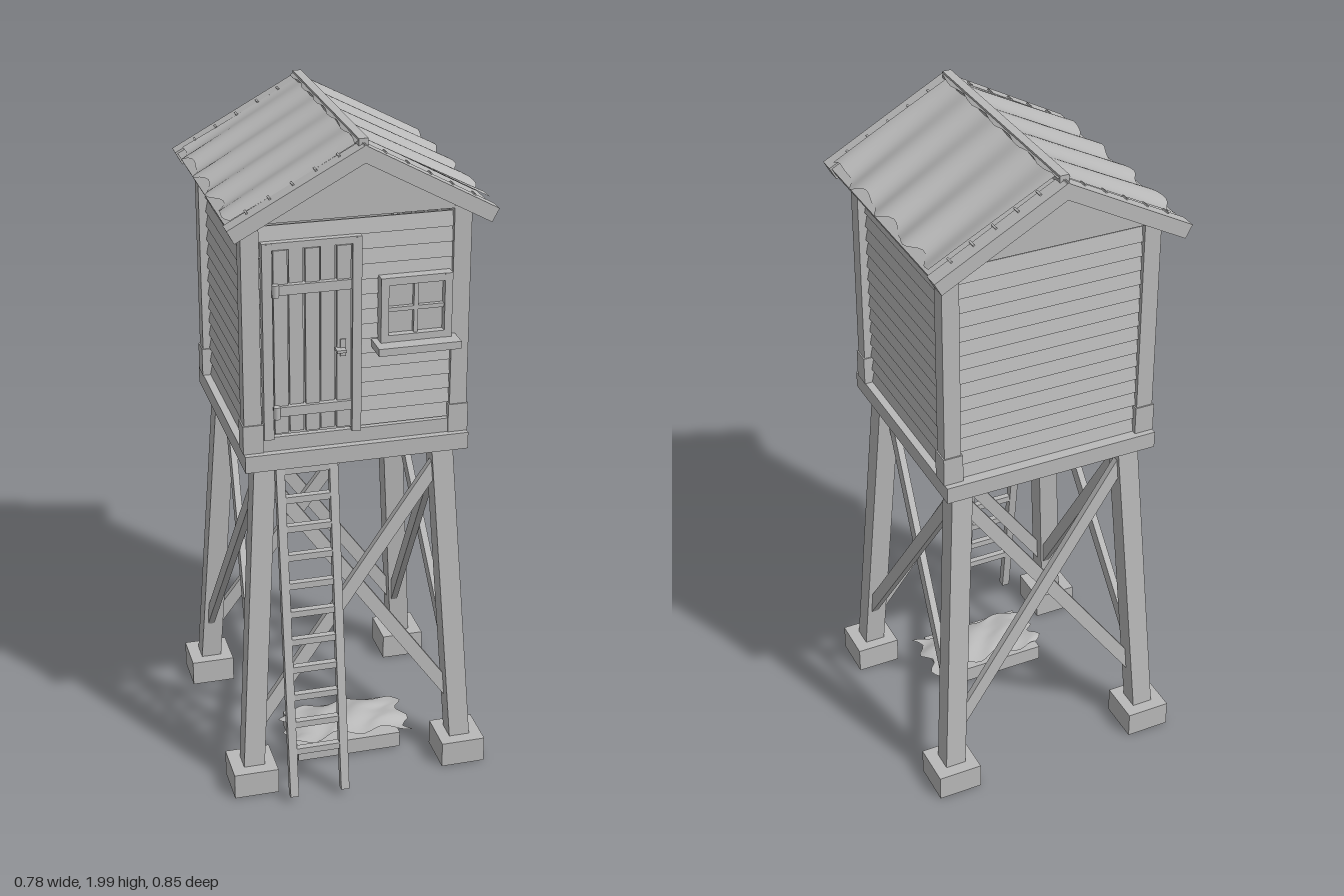
import * as THREE from 'three';

const wood = new THREE.MeshStandardMaterial({ color: 0xb9b9b9 });
wood.name = 'plain grey';
const sheetGrey = wood.clone();
sheetGrey.name = 'sheet grey';
sheetGrey.side = THREE.DoubleSide;

const ZC = -0.034; // centre of the tower; the ladder sticks out in front
const V = (x, y, z) => new THREE.Vector3(x, y, z);

function add(parent, name, geo, mat = wood) {
  const m = new THREE.Mesh(geo, mat);
  m.name = name;
  parent.add(m);
  return m;
}

// Box given by its minimum and maximum on each axis
function box(parent, name, x0, x1, y0, y1, z0, z1) {
  const m = add(parent, name, new THREE.BoxGeometry(x1 - x0, y1 - y0, z1 - z0));
  m.position.set((x0 + x1) / 2, (y0 + y1) / 2, (z0 + z1) / 2);
  return m;
}

// Beam from a to b; the depth runs along the given facing direction
function beam(parent, name, a, b, width, depth, facing) {
  const d = b.clone().sub(a);
  const m = add(parent, name, new THREE.BoxGeometry(width, d.length(), depth));
  d.normalize();
  const x = d.clone().cross(facing).normalize();
  const z = x.clone().cross(d);
  m.quaternion.setFromRotationMatrix(new THREE.Matrix4().makeBasis(x, d, z));
  m.position.copy(a).add(b).multiplyScalar(0.5);
  return m;
}

// Grid surface from a function of u, v in 0..1
function surface(nu, nv, f) {
  const g = new THREE.PlaneGeometry(1, 1, nu, nv);
  const p = g.attributes.position;
  for (let i = 0; i < p.count; i++) p.setXYZ(i, ...f(p.getX(i) + 0.5, p.getY(i) + 0.5));
  g.computeVertexNormals();
  return g;
}

// Leg: square section, leaning inwards, with level ends
function legGeometry(sx, sz) {
  const g = new THREE.BoxGeometry(0.063, 0.99, 0.063);
  const p = g.attributes.position;
  for (let i = 0; i < p.count; i++) {
    const off = p.getY(i) < 0 ? 0.322 : 0.26;
    p.setX(i, p.getX(i) + sx * off);
    p.setZ(i, p.getZ(i) + sz * off);
  }
  g.computeVertexNormals();
  return g;
}

function stand(parent) {
  const g = new THREE.Group();
  g.name = 'stand';
  g.position.z = ZC;
  parent.add(g);
  for (const sx of [-1, 1]) for (const sz of [-1, 1]) {
    const cx = sx * 0.323, cz = sz * 0.323;
    box(g, 'footing', cx - 0.067, cx + 0.067, 0.005, 0.085, cz - 0.067, cz + 0.067);
    add(g, 'leg', legGeometry(sx, sz)).position.y = 0.57;
  }
  // crossed braces on the four sides
  for (let k = 0; k < 4; k++) {
    const side = new THREE.Group();
    side.name = 'bracedSide';
    side.rotation.y = k * Math.PI / 2;
    for (const s of [-1, 1])
      beam(side, 'brace', V(-s * 0.3, 0.22, 0.31 + s * 0.011), V(s * 0.255, 0.995, 0.262 + s * 0.011),
        0.04, 0.02, V(0, 0, 1));
    g.add(side);
  }
  box(g, 'platform', -0.325, 0.325, 1.05, 1.1, -0.333, 0.333);
}

// Lapped boards facing +z, each leaning out at its lower edge
function boards(parent, x0, x1, y0, y1, z) {
  const n = Math.round((y1 - y0) / 0.0445), h = (y1 - y0) / n;
  for (let i = 0; i < n; i++) {
    const b = box(parent, 'wallBoard', x0, x1, y0 + i * h, y0 + (i + 1) * h, z - 0.012, z);
    b.rotation.x = -0.2;
  }
}

function gable(parent, z) {
  const s = new THREE.Shape([new THREE.Vector2(-0.34, 1.766), new THREE.Vector2(0.34, 1.766),
    new THREE.Vector2(0, 1.95)]);
  add(parent, 'gable', new THREE.ExtrudeGeometry(s, { depth: 0.015, bevelEnabled: false })).position.z = z;
}

function cabin(parent) {
  const g = new THREE.Group();
  g.name = 'cabin';
  g.position.z = ZC;
  parent.add(g);
  for (let k = 0; k < 4; k++) {
    const wall = new THREE.Group();
    wall.name = 'wall';
    wall.rotation.y = k * Math.PI / 2;
    boards(wall, -0.29, 0.29, 1.1, k % 2 ? 1.79 : 1.755, 0.299);
    g.add(wall);
  }
  for (const sx of [-1, 1]) for (const sz of [-1, 1]) {
    const cx = sx * 0.298, cz = sz * 0.288;
    box(g, 'cornerPost', cx - 0.025, cx + 0.025, 1.1, 1.785, cz - 0.024, cz + 0.024);
    box(g, 'cornerBlock', cx - 0.029, cx + 0.029, 1.1, 1.185, cz - 0.028, cz + 0.028);
  }
  box(g, 'frontSill', -0.28, 0.28, 1.1, 1.142, 0.29, 0.312);
  gable(g, 0.295);
  gable(g, -0.31);
}

function door(parent) {
  const g = new THREE.Group();
  g.name = 'door';
  parent.add(g);
  for (const [x0, x1] of [[-0.268, -0.24], [-0.016, 0.01]]) box(g, 'doorFrame', x0, x1, 1.14, 1.712, 0.25, 0.29);
  box(g, 'doorFrame', -0.268, 0.01, 1.695, 1.715, 0.25, 0.289);
  for (let i = 0; i < 5; i++) {
    const x = -0.238 + i * 0.0442;
    box(g, 'doorPlank', x, x + 0.039, 1.16, 1.695, 0.25, i % 2 ? 0.288 : 0.294);
  }
  box(g, 'doorBack', -0.24, -0.016, 1.15, 1.7, 0.25, 0.28);
  for (const y of [1.585, 1.228]) {
    box(g, 'hingeStrap', -0.235, -0.022, y - 0.014, y + 0.014, 0.28, 0.304);
    const pin = add(g, 'hingePin', new THREE.CylinderGeometry(0.01, 0.01, 0.036, 10));
    pin.position.set(-0.235, y, 0.304);
  }
  box(g, 'handlePlate', -0.053, -0.037, 1.375, 1.425, 0.28, 0.298);
  box(g, 'handle', -0.067, -0.04, 1.392, 1.4, 0.29, 0.318);
}

function windowPart(parent) {
  const g = new THREE.Group();
  g.name = 'window';
  parent.add(g);
  box(g, 'pane', 0.075, 0.255, 1.41, 1.58, 0.25, 0.277);
  for (const x of [0.062, 0.244]) box(g, 'windowFrame', x, x + 0.022, 1.4, 1.59, 0.25, 0.3);
  for (const y of [1.4, 1.568]) box(g, 'windowFrame', 0.062, 0.266, y, y + 0.022, 0.25, 0.299);
  box(g, 'glazingBar', 0.158, 0.17, 1.41, 1.58, 0.25, 0.291);
  box(g, 'glazingBar', 0.075, 0.255, 1.488, 1.5, 0.25, 0.29);
  box(g, 'windowSill', 0.045, 0.282, 1.38, 1.402, 0.25, 0.342);
}

function roof(parent) {
  const g = new THREE.Group();
  g.name = 'roof';
  g.position.set(0, 1.983, ZC);
  parent.add(g);
  const slope = Math.atan(0.54), len = 0.425;
  for (const s of [-1, 1]) {
    // local x runs down the slope, local y out of the roof
    const half = new THREE.Group();
    half.name = 'roofHalf';
    half.rotation.order = 'YXZ';
    half.rotation.set(0, s > 0 ? 0 : Math.PI, -slope);
    g.add(half);
    box(half, 'deck', 0, len - 0.005, -0.03, -0.006, -0.345, 0.345);
    for (const e of [-1, 1]) {
      const z = e * 0.362;
      box(half, 'bargeBoard', -0.003, len, -0.042, 0, z - 0.024, z + 0.024);
      for (let i = 1; i < 6; i++) // small nails holding the sheet edge
        box(half, 'nail', i * 0.071 - 0.003, i * 0.071 + 0.003, -0.004, 0.004, e * 0.345 - 0.012, e * 0.345 + 0.012);
    }
    // wavy sheet with a ragged lower edge
    add(half, 'roofSheet', surface(8, 48, (u, v) => {
      const z = (0.5 - v) * 0.672;
      const edge = 0.405 + 0.013 * Math.sin(z * 36 + s) + 0.006 * Math.sin(z * 67 + 2 * s);
      const y = 0.004 + 0.009 * Math.sin(z * 38 + 1.2 * s + u) * (0.4 + 0.6 * u);
      return [u * edge, y, z];
    }), sheetGrey);
    // folded ridge strip
    add(half, 'ridgeStrip', surface(1, 20, (u, v) => {
      const z = (0.5 - v) * 0.72;
      return [u * (0.016 + 0.005 * Math.sin(z * 45 + s)), 0.014 - 0.003 * u, z];
    }), sheetGrey);
  }
  box(g, 'ridge', -0.013, 0.013, -0.012, 0.013, -0.364, 0.364);
}

function ladder(parent) {
  const g = new THREE.Group();
  g.name = 'ladder';
  parent.add(g);
  const zAt = y => 0.273 + (1.05 - y) * 0.135;
  for (const x of [-0.223, -0.068])
    beam(g, 'ladderRail', V(x, 0.025, zAt(0.025)), V(x, 1.05, zAt(1.05)), 0.025, 0.024, V(0, 0, 1));
  for (let i = 0; i < 11; i++) {
    const y = 0.17 + i * 0.0865;
    box(g, 'rung', -0.215, -0.076, y - 0.01, y + 0.01, zAt(y) - 0.01, zAt(y) + 0.01);
  }
}

function groundSlab(parent) {
  box(parent, 'slab', -0.163, 0.16, 0.01, 0.06, 0.02, 0.225);
  // crumpled cover with a ragged outline
  add(parent, 'slabCover', surface(20, 12, (u, v) => {
    const a = u * 2 - 1, b = 1 - v * 2;
    const x = 0.01 + a * (0.185 + 0.015 * Math.sin(b * 7));
    const z = 0.122 + b * (0.088 + 0.014 * Math.sin(a * 8));
    const y = 0.063 + 0.027 * (1 - a * a) * (1 - 0.5 * b * b) + 0.004 * Math.sin(a * 9 + b * 4);
    return [x, y, z];
  }), sheetGrey);
}

export function createModel() {
  const model = new THREE.Group();
  model.name = 'lookoutTower';
  for (const build of [stand, cabin, door, windowPart, roof, ladder, groundSlab]) build(model);
  return model;
}
